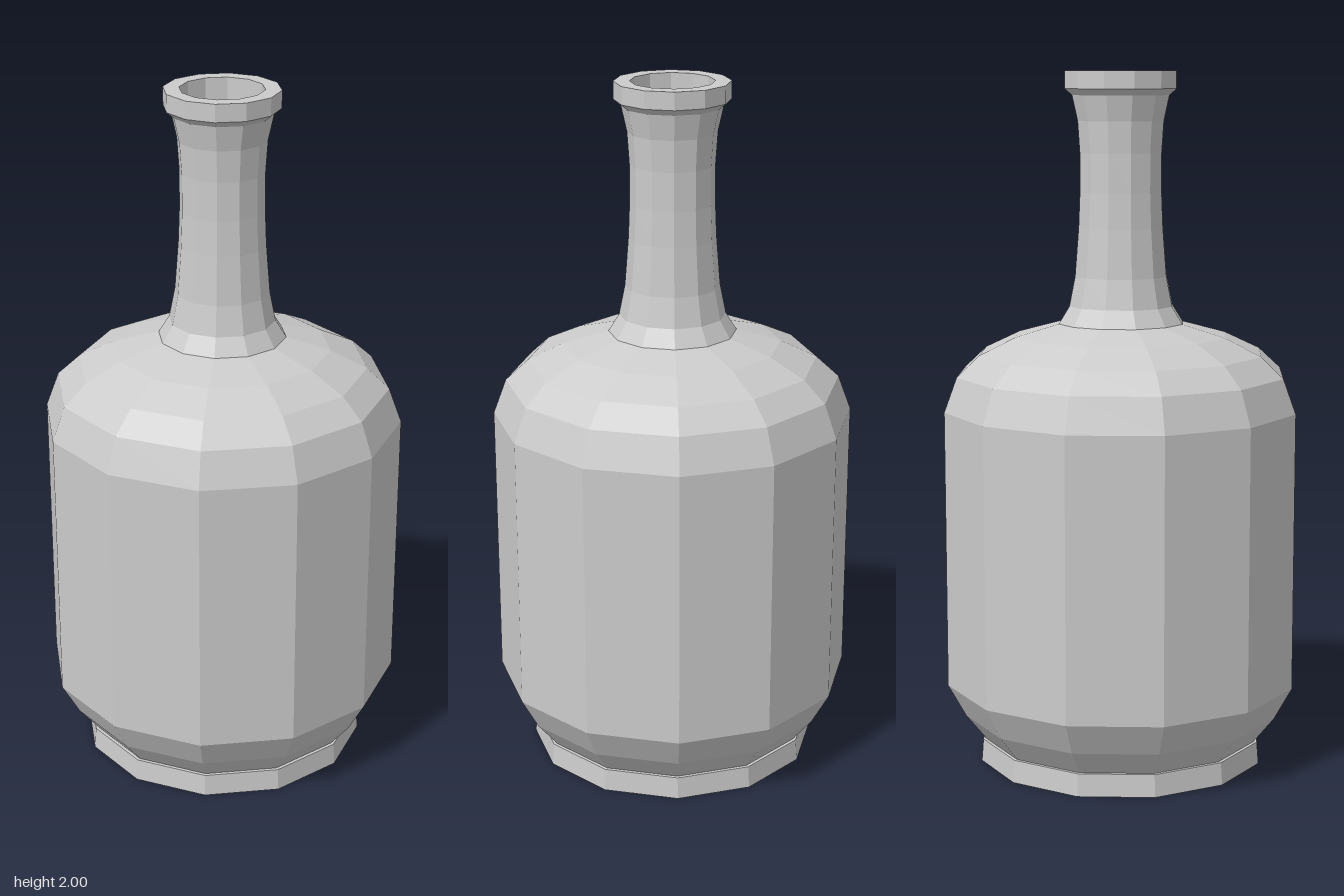
import * as THREE from 'three';

const SIDES = 12;

export function createModel() {
  const group = new THREE.Group();
  const material = new THREE.MeshStandardMaterial({ color: 0xcccccc, flatShading: true });

  // Turn a [radius, height] profile into a faceted part
  const turn = (name, profile) => {
    const points = profile.map(([r, y]) => new THREE.Vector2(r, y));
    const mesh = new THREE.Mesh(new THREE.LatheGeometry(points, SIDES), material);
    mesh.name = name;
    group.add(mesh);
  };

  // Foot with closed underside
  turn('foot', [[0, 0], [0.42, 0], [0.415, 0.065], [0.405, 0.065]]);

  // Body: tapered base, straight wall, rounded shoulder
  turn('body', [
    [0.405, 0.065], [0.465, 0.14], [0.517, 0.235], [0.517, 1.04],
    [0.48, 1.14], [0.415, 1.2], [0.31, 1.25], [0.183, 1.285],
  ]);

  // Neck, flared at both ends
  turn('neck', [
    [0.183, 1.285], [0.152, 1.335], [0.135, 1.42], [0.124, 1.56],
    [0.12, 1.66], [0.12, 1.77], [0.126, 1.86], [0.142, 1.932],
  ]);

  // Lip collar
  turn('lip', [[0.142, 1.932], [0.163, 1.95], [0.163, 2], [0.118, 2]]);

  // Hollow inside the neck, closed at its bottom
  turn('mouth', [[0.118, 2], [0.116, 1.9], [0.116, 1.29], [0, 1.29]]);

  return group;
}
